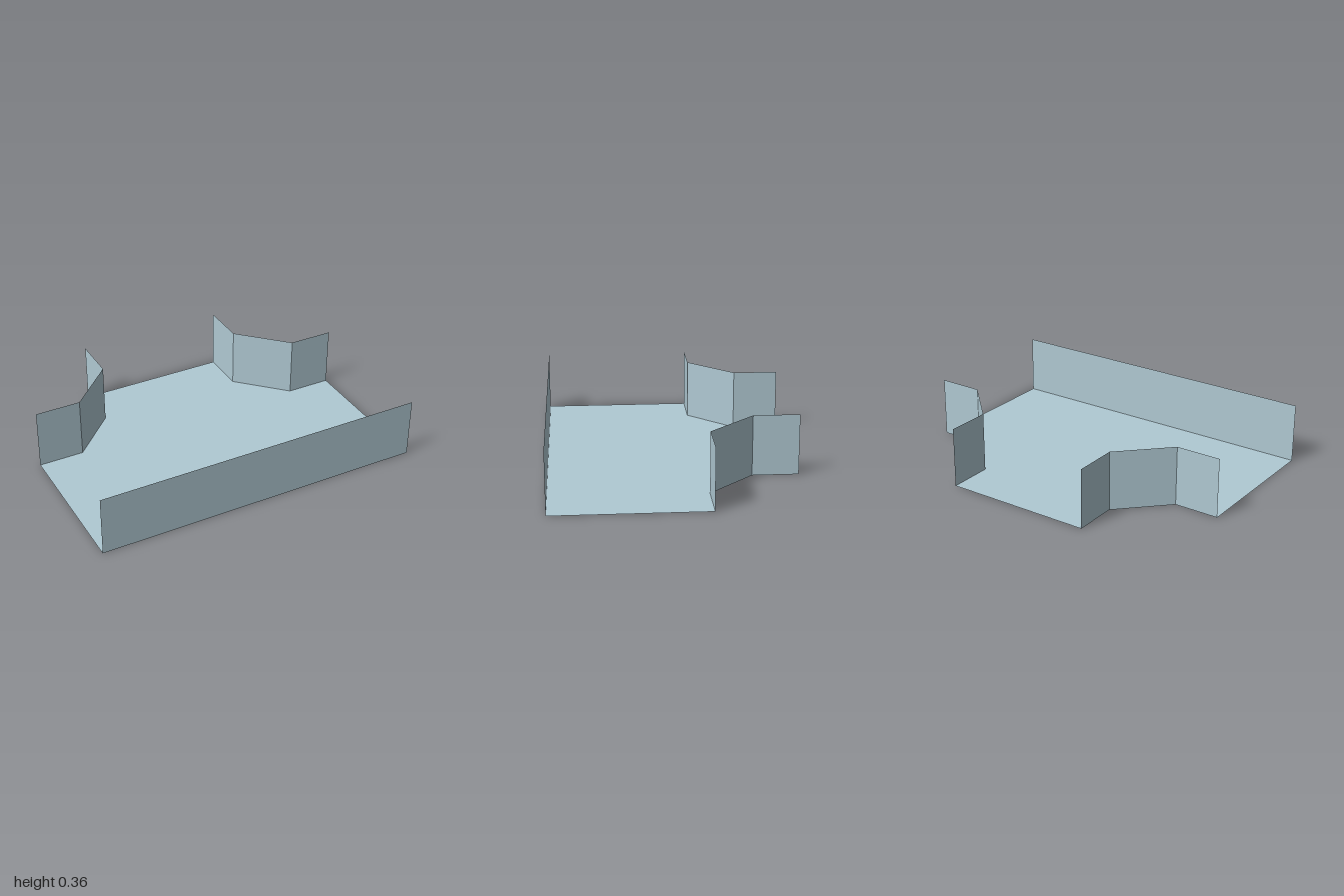
import * as THREE from 'three';

const HEIGHT = 0.3636;
const FRONT = 0.727, BACK = -0.727, SHOULDER = -0.182, NECK = 0.4545;

// Side outline of the branch as [x, z], from the run's end to the branch mouth
const CORNER = [[1, SHOULDER], [0.727, SHOULDER], [NECK, -0.4545], [NECK, BACK]];

export function createModel() {
  const group = new THREE.Group();
  const steel = new THREE.MeshStandardMaterial({ color: 0xb0c9d3, side: THREE.DoubleSide });
  steel.name = 'galvanised steel';

  // Upright sheet following a path of [x, z] points, one flat panel per segment
  const addWall = (name, path) => {
    const wall = new THREE.Group();
    wall.name = name;
    for (let i = 0; i < path.length - 1; i++) {
      const [x0, z0] = path[i], [x1, z1] = path[i + 1];
      const panel = new THREE.Mesh(
        new THREE.PlaneGeometry(Math.hypot(x1 - x0, z1 - z0), HEIGHT), steel);
      panel.name = name + 'Panel';
      panel.position.set((x0 + x1) / 2, HEIGHT / 2, (z0 + z1) / 2);
      panel.rotation.y = -Math.atan2(z1 - z0, x1 - x0);
      wall.add(panel);
    }
    group.add(wall);
  };

  // Tee-shaped tray floor
  const mirrored = CORNER.map(([x, z]) => [-x, z]);
  const outline = [[-1, FRONT], [1, FRONT], ...CORNER, ...mirrored.slice().reverse()];
  const shape = new THREE.Shape(outline.map(([x, z]) => new THREE.Vector2(x, -z)));
  const floor = new THREE.Mesh(new THREE.ShapeGeometry(shape).rotateX(-Math.PI / 2), steel);
  floor.name = 'trayFloor';
  group.add(floor);

  // Straight front wall and the two bent walls beside the branch
  addWall('frontWall', [[-1, FRONT], [1, FRONT]]);
  addWall('leftBranchWall', CORNER.slice().reverse());
  addWall('rightBranchWall', mirrored);

  return group;
}
